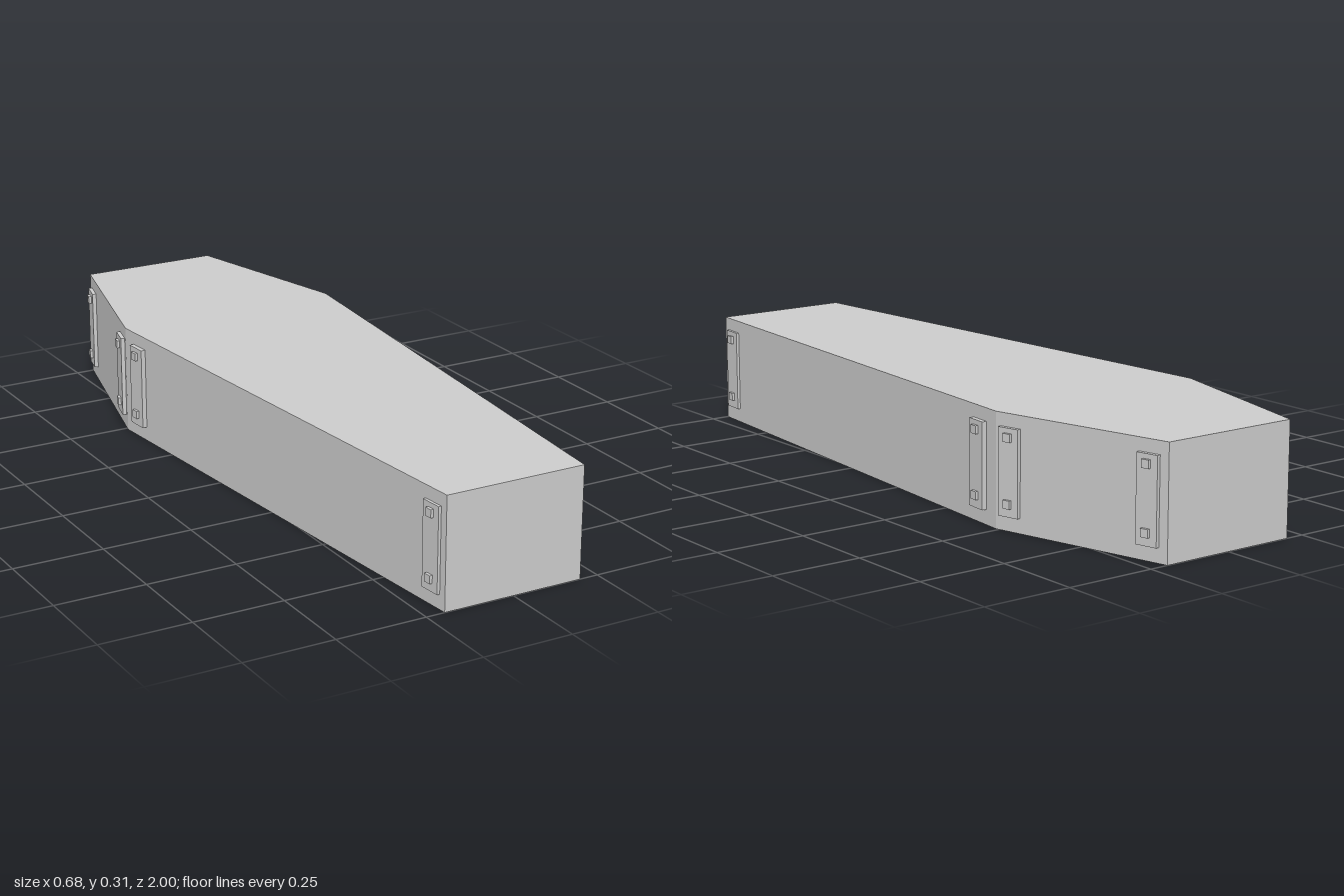
import * as THREE from 'three';

const END = 0.198, MID = 0.325, MID_Z = -0.49, HEIGHT = 0.305;

export function createModel() {
  const model = new THREE.Group();
  model.name = 'coffin';
  const material = new THREE.MeshStandardMaterial({ color: 0xcccccc, flatShading: true });

  const add = (parent, geometry, name, x, y, z) => {
    const mesh = new THREE.Mesh(geometry, material);
    mesh.name = name;
    mesh.position.set(x, y, z);
    parent.add(mesh);
    return mesh;
  };

  // Six-sided body, widest at the shoulders; shape y becomes -z
  const outline = new THREE.Shape([
    [-END, -1], [END, -1], [MID, -MID_Z], [END, 1], [-END, 1], [-MID, -MID_Z],
  ].map(([x, y]) => new THREE.Vector2(x, y)));
  const bodyGeometry = new THREE.ExtrudeGeometry(outline, { depth: HEIGHT, bevelEnabled: false });
  bodyGeometry.rotateX(-Math.PI / 2);
  add(model, bodyGeometry, 'body', 0, 0, 0);

  // Upright side straps, each with two square bolts
  const plateGeometry = new THREE.BoxGeometry(0.02, 0.23, 0.062);
  const boltGeometry = new THREE.BoxGeometry(0.02, 0.022, 0.022);
  const straps = [
    { z: 0.948, out: 0.008 },
    { z: -0.415, out: 0.013 },
    { z: -0.535, out: 0.011 },
    { z: -0.945, out: 0.011 },
  ];
  for (const side of [1, -1]) {
    for (const { z, out } of straps) {
      const endZ = z > MID_Z ? 1 : -1;
      const slope = (END - MID) / (endZ - MID_Z);
      const angle = Math.atan(slope);
      const strap = new THREE.Group();
      strap.name = side > 0 ? 'leftStrap' : 'rightStrap';
      strap.position.set(side * (END + slope * (z - endZ)), 0.155, z);
      strap.rotation.y = side > 0 ? angle : Math.PI - angle;
      add(strap, plateGeometry, 'plate', out - 0.01, 0, 0);
      for (const y of [-0.081, 0.091]) add(strap, boltGeometry, 'bolt', out - 0.002, y, 0);
      model.add(strap);
    }
  }
  return model;
}
